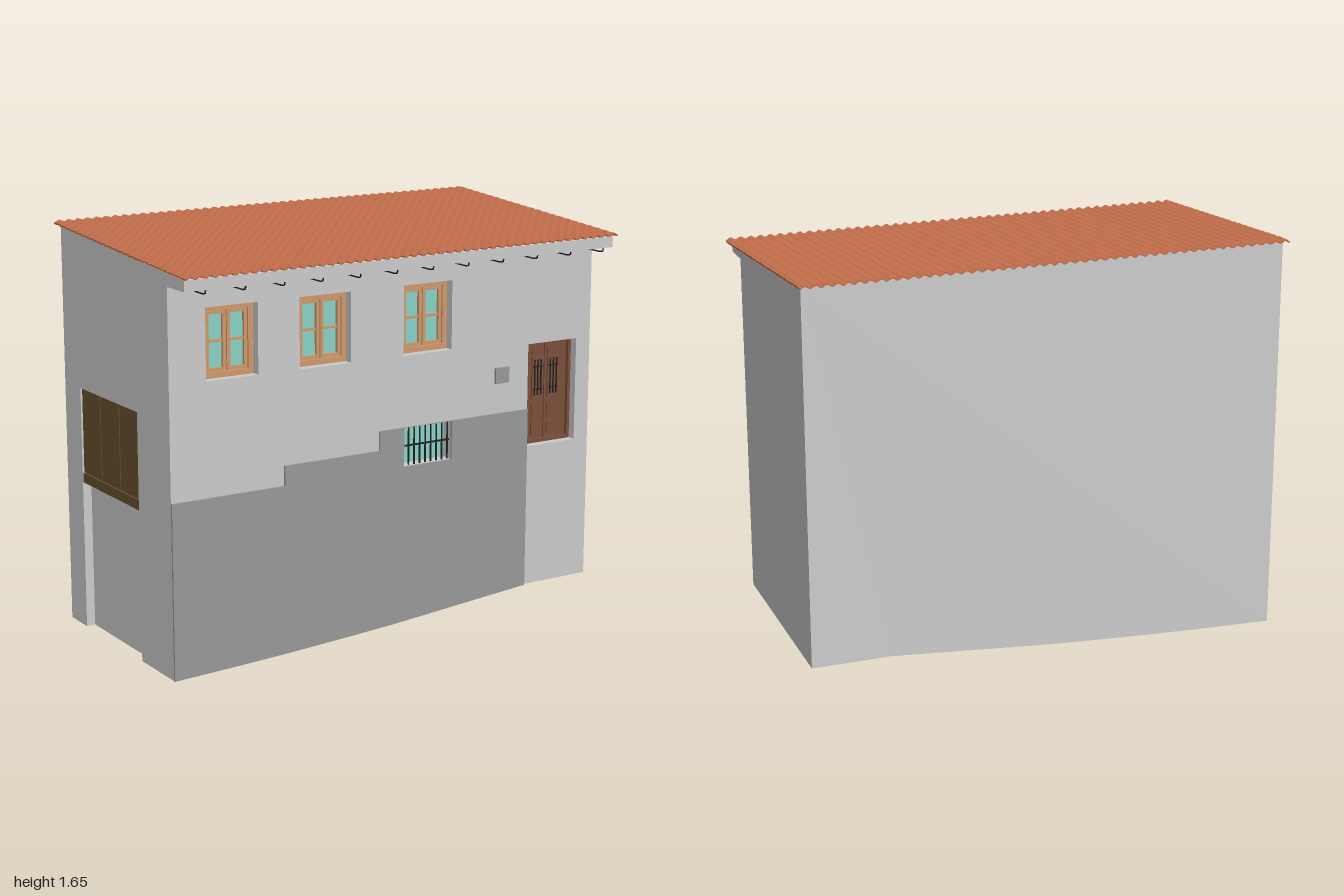
import * as THREE from 'three';

const mat = (color, side = THREE.FrontSide) => new THREE.MeshStandardMaterial({ color, side });
const wallMat = mat(0xcccccc), plinthMat = mat(0x999999), tileMat = mat(0xc8714d);
const tanMat = mat(0xd09a6c), glassMat = mat(0x8ad2c8), ironMat = mat(0x222222);
const doorMat = mat(0x7d4f3b), gateMat = mat(0x66502f);

const L = -0.997, R = 0.975, FRONT = 0.41, BACK = -0.49;
const roofUnder = z => 1.5975 - 0.068 * z;
// ground line under the house, left to right
const ground = [[L, 0], [-0.75, 0.009], [-0.5, 0.02], [-0.25, 0.034], [0, 0.05], [0.655, 0.105], [R, 0.105]];

function add(parent, name, geo, material) {
  const m = new THREE.Mesh(geo, material);
  m.name = name;
  parent.add(m);
  return m;
}
// box given by its limits
function box(parent, name, material, x0, x1, y0, y1, z0, z1) {
  const m = add(parent, name, new THREE.BoxGeometry(x1 - x0, y1 - y0, z1 - z0), material);
  m.position.set((x0 + x1) / 2, (y0 + y1) / 2, (z0 + z1) / 2);
  return m;
}
const poly = pts => new THREE.Shape(pts.map(p => new THREE.Vector2(...p)));
function rectPath([x0, x1, y0, y1]) {
  return new THREE.Path([[x0, y0], [x0, y1], [x1, y1], [x1, y0]].map(p => new THREE.Vector2(...p)));
}
// slab from z0 to z1 with rectangular holes; its top edge follows the roof slope
function slab(parent, name, material, pts, holes, z0, z1) {
  const shape = poly(pts);
  shape.holes = holes.map(rectPath);
  const geo = new THREE.ExtrudeGeometry(shape, { depth: z1 - z0, bevelEnabled: false });
  geo.translate(0, 0, z0);
  const p = geo.attributes.position;
  for (let i = 0; i < p.count; i++) if (p.getY(i) > 1.55) p.setY(i, roofUnder(p.getZ(i)) + 0.004);
  geo.computeVertexNormals();
  return add(parent, name, geo, material);
}
// rectangular ring
function ring(parent, name, material, [x0, x1, y0, y1], w, z0, z1) {
  const pts = [[x0, y0], [x1, y0], [x1, y1], [x0, y1]];
  return slab(parent, name, material, pts, [[x0 + w, x1 - w, y0 + w, y1 - w]], z0, z1);
}

function buildWindow(rect) {
  const g = new THREE.Group();
  g.name = 'window';
  const [x0, x1, y0, y1] = rect, z = 0.352;
  ring(g, 'windowFrame', tanMat, rect, 0.022, z, z + 0.022);
  box(g, 'windowGlass', glassMat, x0 + 0.02, x1 - 0.02, y0 + 0.02, y1 - 0.02, z, z + 0.004);
  const xm = (x0 + x1) / 2, ym = (y0 + y1) / 2;
  for (const [a, b] of [[x0 + 0.023, xm - 0.002], [xm + 0.002, x1 - 0.023]]) {
    ring(g, 'sash', tanMat, [a, b, y0 + 0.023, y1 - 0.023], 0.014, z, z + 0.016);
    box(g, 'glazingBar', tanMat, a + 0.01, b - 0.01, ym - 0.005, ym + 0.005, z, z + 0.013);
  }
  return g;
}

function buildBarredWindow([x0, x1, y0, y1]) {
  const g = new THREE.Group();
  g.name = 'barredWindow';
  box(g, 'cellarGlass', glassMat, x0, x1, y0, y1, 0.352, 0.36);
  for (let i = 0; i < 9; i++) {
    const x = x0 + 0.008 + i * (x1 - x0 - 0.016) / 8;
    box(g, 'bar', ironMat, x - 0.0025, x + 0.0025, y0, y1, 0.395, 0.4);
  }
  box(g, 'crossBar', ironMat, x0, x1, (y0 + y1) / 2 - 0.003, (y0 + y1) / 2 + 0.003, 0.394, 0.401);
  return g;
}

function buildDoor(rect) {
  const g = new THREE.Group();
  g.name = 'door';
  const [x0, x1, y0, y1] = rect, z = 0.352, xm = (x0 + x1) / 2;
  ring(g, 'doorFrame', doorMat, rect, 0.014, z, z + 0.024);
  box(g, 'doorLeaf', doorMat, x0 + 0.01, x1 - 0.01, y0 + 0.01, y1 - 0.01, z, z + 0.01);
  box(g, 'centreStrip', doorMat, xm - 0.006, xm + 0.006, y0 + 0.014, y1 - 0.014, z, z + 0.016);
  for (const s of [-1, 1]) {
    const c = xm + s * 0.04, a = c - 0.029, b = c + 0.029;
    for (const [p, q] of [[0.8, 0.862], [1.07, 1.105]])
      box(g, 'raisedPanel', doorMat, a, b, p, q, z, z + 0.016);
    box(g, 'lowerPanel', doorMat, a, b, 0.73, 0.785, z, z + 0.016);
    ring(g, 'grilleFrame', doorMat, [a, b, 0.885, 1.06], 0.009, z, z + 0.017);
    for (let i = -1; i <= 1; i++)
      box(g, 'grilleBar', ironMat, c + i * 0.016 - 0.002, c + i * 0.016 + 0.002, 0.9, 1.05, z + 0.014, z + 0.019);
    for (const y of [0.925, 1.02])
      box(g, 'grilleCrossBar', ironMat, a + 0.004, b - 0.004, y - 0.002, y + 0.002, z + 0.014, z + 0.018);
  }
  return g;
}

// sloping roof of overlapping corrugated tile rows
function buildRoof() {
  const g = new THREE.Group();
  g.name = 'roof';
  const cols = 48, seg = 6, rows = 22, top = [], bottom = [];
  for (let i = 0; i <= cols * seg; i++) {
    const x = -0.998 + 1.996 * i / (cols * seg);
    const y = 0.005 * (1 - Math.cos(i / seg * Math.PI * 2));
    top.push([x, y + 0.007]);
    bottom.push([x, y]);
  }
  const step = 1.09 / rows;
  const geo = new THREE.ExtrudeGeometry(poly([...bottom, ...top.reverse()]), { depth: step + 0.006, bevelEnabled: false });
  for (let r = 0; r < rows; r++) {
    const z = -0.548 + r * step;
    const row = add(g, 'tileRow', geo, tileMat);
    row.position.set(0, roofUnder(z), z);
    row.rotation.x = Math.atan(0.068) - 0.075;
  }
  g.rotation.y = 0.005;
  return g;
}

export function createModel() {
  const house = new THREE.Group();
  house.name = 'house';

  const windows = [[-0.84, -0.615], [-0.432, -0.2], [0.045, 0.275]].map(([a, b]) => [a, b, 1.15, 1.43]);
  const cellar = [0.045, 0.275, 0.7, 0.86], door = [0.658, 0.905, 0.7, 1.13];

  // walls: the middle stretch carries the side recess
  const full = [...ground, [R, 1.6], [L, 1.6]];
  const notched = [[-0.96, 0.001], ...ground.slice(1), [R, 1.6], [L, 1.6], [L, 1], [-0.96, 1]];
  slab(house, 'rearWall', wallMat, full, [], BACK, -0.35);
  slab(house, 'recessedSideWall', wallMat, notched, [], -0.35, 0.145);
  slab(house, 'frontBody', wallMat, full, [], 0.145, 0.35);
  slab(house, 'frontWall', wallMat, full, [...windows, cellar, door], 0.35, FRONT);

  // stepped plinth and meter box
  const plinth = [...ground.slice(0, 6), [0.655, 0.86], [-0.07, 0.86], [-0.07, 0.78], [-0.505, 0.78], [-0.505, 0.7], [L, 0.7]];
  const plinthHole = [cellar[0], cellar[1], 0.7, 0.859];
  slab(house, 'plinth', plinthMat, plinth, [plinthHole], FRONT, 0.419);
  box(house, 'meterBox', plinthMat, 0.49, 0.556, 0.985, 1.05, FRONT, 0.42);

  windows.forEach(w => house.add(buildWindow(w)));
  house.add(buildBarredWindow(cellar), buildDoor(door));

  // side gate: three panels over a bottom rail
  const gate = new THREE.Group();
  gate.name = 'sideGate';
  box(gate, 'gateBacking', gateMat, -0.985, -0.96, 0.61, 1, -0.35, 0.145);
  for (let i = 0; i < 3; i++) {
    const z = -0.35 + i * 0.165;
    box(gate, 'gatePanel', gateMat, -0.991, -0.98, 0.655, 1, z + 0.003, z + 0.162);
  }
  box(gate, 'gateRail', gateMat, -0.994, -0.98, 0.61, 0.65, -0.35, 0.145);
  house.add(gate);

  // eave box with hooked iron brackets below
  slab(house, 'eave', wallMat, [[L, 1.522], [R, 1.522], [R, 1.6], [L, 1.6]], [], FRONT, 0.543);
  const hook = new THREE.CatmullRomCurve3([[0.41, 1.508], [0.48, 1.508], [0.535, 1.508], [0.55, 1.511], [0.554, 1.524]]
    .map(([z, y]) => new THREE.Vector3(0, y, z)));
  const hookGeo = new THREE.TubeGeometry(hook, 12, 0.003, 6);
  for (let i = 0; i < 12; i++) add(house, 'eaveBracket', hookGeo, ironMat).position.x = -0.915 + i * 0.1667;

  house.add(buildRoof());
  return house;
}
